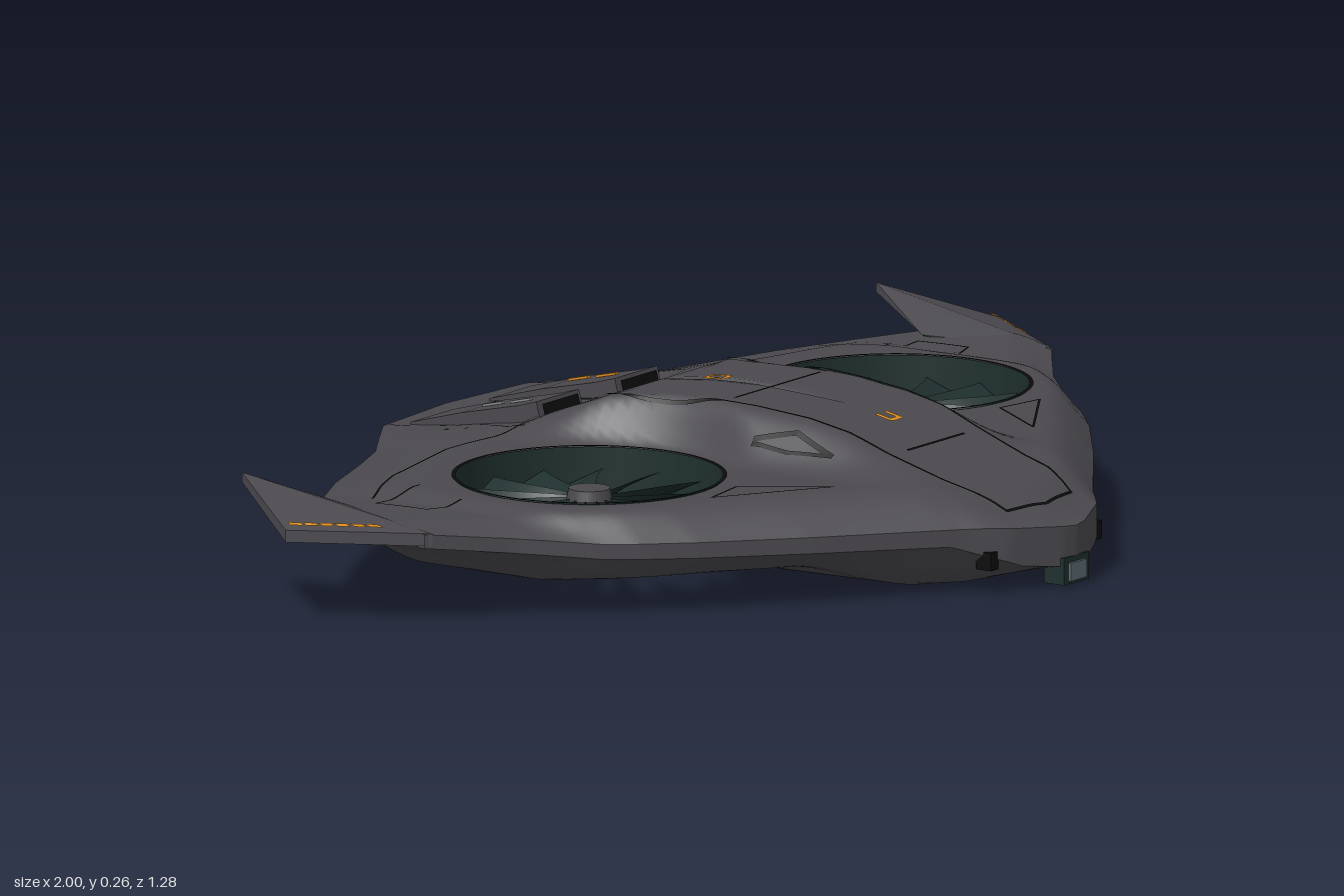
import * as THREE from 'three';
import { ConvexGeometry } from 'three/addons/geometries/ConvexGeometry.js';

const mat = (name, color) => {
  const m = new THREE.MeshStandardMaterial({ color, side: THREE.DoubleSide });
  m.name = name;
  return m;
};

// piecewise linear lookup through [in, out] pairs
const table = (...p) => (v) => {
  if (v <= p[0][0]) return p[0][1];
  for (let i = 1; i < p.length; i++)
    if (v <= p[i][0]) return THREE.MathUtils.mapLinear(v, p[i - 1][0], p[i][0], p[i - 1][1], p[i][1]);
  return p[p.length - 1][1];
};
const { lerp, smoothstep } = THREE.MathUtils;

// plan outline, by distance from the centre line
const lead = table([0, 0.635], [0.03, 0.63], [0.12, 0.59], [0.18, 0.54], [0.4, 0.385], [0.55, 0.27], [0.62, 0.205], [0.68, 0.135], [0.76, 0.05], [0.88, -0.04]);
const trail = table([0, -0.62], [0.2, -0.603], [0.28, -0.555], [0.36, -0.505], [0.47, -0.458], [0.62, -0.4], [0.75, -0.335], [0.88, -0.265]);
// the trailing edge leans back towards its lower side
const rear = (a, isTop) => trail(a) - (isTop ? 0 : 0.012);
// heights: spine, belly, wing and edges
const spine = table([-0.62, 0.143], [-0.45, 0.162], [-0.34, 0.178], [-0.28, 0.205], [-0.18, 0.243], [-0.08, 0.254], [0, 0.257], [0.1, 0.253], [0.2, 0.244], [0.28, 0.228], [0.35, 0.202], [0.45, 0.17], [0.54, 0.147], [0.6, 0.122], [0.64, 0.105]);
const belly = table([-0.62, 0.08], [-0.4, 0.062], [-0.3, 0.043], [-0.15, 0.02], [0.2, 0.004], [0.5, 0.01], [0.6, 0.025], [0.64, 0.03]);
const deck = table([0, 0.175], [0.67, 0.174], [0.72, 0.161], [0.8, 0.165], [0.88, 0.17]);
const under = table([0, 0.055], [0.68, 0.056], [0.72, 0.08], [0.86, 0.138]);
const shoulder = table([-0.6, 0.18], [-0.3, 0.18], [0, 0.15], [0.35, 0.12], [0.6, 0.09]);
const leadTop = table([0, 0.1], [0.15, 0.112], [0.66, 0.125], [0.88, 0.155]);
const leadLow = table([0, 0.032], [0.1, 0.045], [0.2, 0.085], [0.66, 0.1], [0.88, 0.132]);
const trailTop = table([0, 0.145], [0.2, 0.145], [0.36, 0.143], [0.88, 0.158]);
const trailLow = table([0, 0.08], [0.2, 0.08], [0.36, 0.112], [0.88, 0.14]);

const DUCT = { x: 0.43, z: -0.03, r: 0.22, top: 0.174, low: 0.056 };

const rise = (d) => Math.sin((Math.PI / 2) * THREE.MathUtils.clamp(d, 0, 1));
function surface(x, z, isTop) {
  const a = Math.abs(x), front = lead(a) - z, back = z - trail(a);
  const edge = lerp(isTop ? trailTop(a) : trailLow(a), isTop ? leadTop(a) : leadLow(a), smoothstep(back / (front + back), 0.2, 0.8));
  const w = isTop ? shoulder(z) : 0.17;
  const k = 1 - smoothstep(a, w, w + (isTop ? 0.11 : 0.2));
  const full = isTop ? lerp(deck(a), spine(z), k) : lerp(under(a), belly(z), k);
  const y = lerp(edge, full, Math.min(rise(front / 0.1), rise(back / 0.2)));
  // flat rim around each duct
  const rim = 1 - smoothstep(Math.hypot(a - DUCT.x, z - DUCT.z), DUCT.r + 0.006, DUCT.r + 0.07);
  return lerp(y, isTop ? DUCT.top : DUCT.low, rim);
}
const topY = (x, z) => surface(x, z, true), lowY = (x, z) => surface(x, z, false);

// top or bottom skin, a grid with both duct holes cut to exact circles
function skin(isTop) {
  const nx = 176, nz = 60, pos = [], idx = [], inside = [];
  for (let i = 0; i <= nx; i++) for (let j = 0; j <= nz; j++) {
    let x = -0.88 + (1.76 * i) / nx, z = lerp(rear(Math.abs(x), isTop), lead(Math.abs(x)), j / nz);
    const cx = Math.sign(x) * DUCT.x, d = Math.hypot(x - cx, z - DUCT.z);
    inside.push(d < DUCT.r);
    if (d < DUCT.r && d > 0) {
      x = cx + ((x - cx) * DUCT.r) / d;
      z = DUCT.z + ((z - DUCT.z) * DUCT.r) / d;
    }
    pos.push(x, surface(x, z, isTop), z);
  }
  for (let i = 0; i < nx; i++) for (let j = 0; j < nz; j++) {
    const a = i * (nz + 1) + j, b = a + 1, c = a + nz + 1, d = c + 1;
    if (inside[a] && inside[b] && inside[c] && inside[d]) continue;
    if (isTop) idx.push(a, b, c, b, d, c);
    else idx.push(a, c, b, b, c, d);
  }
  return build(pos, idx);
}
function build(pos, idx) {
  const g = new THREE.BufferGeometry();
  g.setAttribute('position', new THREE.Float32BufferAttribute(pos, 3));
  g.setIndex(idx);
  g.computeVertexNormals();
  return g;
}
// band of quads between two rows of points
function strip(rowA, rowB) {
  const idx = [], n = rowA.length;
  for (let i = 0; i < n - 1; i++) idx.push(i, i + n, i + 1, i + 1, i + n, i + n + 1);
  return build([...rowA, ...rowB].flat(), idx);
}
// thin painted line laid on a skin through [x, z] points
function ribbon(pts, width, fn = topY) {
  const A = [], B = [], lift = fn === topY ? 0.003 : -0.003;
  for (let s = 0; s < pts.length - 1; s++) {
    const [x0, z0] = pts[s], [x1, z1] = pts[s + 1], len = Math.hypot(x1 - x0, z1 - z0);
    const ox = ((z1 - z0) / len) * width / 2, oz = (-(x1 - x0) / len) * width / 2;
    for (let t = 0; t <= 12; t++) {
      const x = lerp(x0, x1, t / 12), z = lerp(z0, z1, t / 12);
      A.push([x + ox, fn(x + ox, z + oz) + lift, z + oz]);
      B.push([x - ox, fn(x - ox, z - oz) + lift, z - oz]);
    }
  }
  return strip(A, B);
}
const rect = (x, z, w, d) => [[x - w / 2, z - d / 2], [x + w / 2, z - d / 2], [x + w / 2, z + d / 2], [x - w / 2, z + d / 2], [x - w / 2, z - d / 2]];

export function createModel() {
  const root = new THREE.Group();
  const body = mat('charcoal body', 0x4b494e), green = mat('dark green fan', 0x1f302e), black = mat('black lines', 0x0c0c0e);
  const orange = mat('orange marks', 0xd98a1e), grey = mat('grey marks', 0x85878a), glass = mat('lens grey', 0x5c6c72);
  const edgeGrey = mat('edge grey', 0x62686a);
  const add = (name, geo, m, parent = root) => {
    const mesh = new THREE.Mesh(geo, m);
    mesh.name = name;
    parent.add(mesh);
    return mesh;
  };
  const box = (name, w, h, d, x, y, z, m) => add(name, new THREE.BoxGeometry(w, h, d), m).position.set(x, y, z);

  // flying wing hull and its edge walls
  add('upperHull', skin(true), body);
  add('lowerHull', skin(false), body);
  for (const [name, edge, m] of [['leadingEdge', lead, body], ['trailingEdge', rear, edgeGrey]]) {
    const rows = [true, false].map((isTop) => Array.from({ length: 177 }, (_, i) => {
      const x = -0.88 + i * 0.01, z = edge(Math.abs(x), isTop);
      return [x, surface(x, z, isTop), z];
    }));
    add(name, strip(...rows), m);
  }

  // tail exhaust and lower lip
  const exhaust = (y, back) => [-0.18, 0, 0.18].map((x) => [x, y, trail(Math.abs(x)) - back]);
  add('exhaustOpening', strip(exhaust(0.137, 0.006), exhaust(0.086, 0.016)), green);
  const lip = new THREE.Shape([[-0.2, 0.59], [0.2, 0.59], [0.2, 0.615], [0, 0.645], [-0.2, 0.615]].map((p) => new THREE.Vector2(...p)));
  const lipGeo = new THREE.ExtrudeGeometry(lip, { depth: 0.006, bevelEnabled: false }).rotateX(-Math.PI / 2);
  add('tailLip', lipGeo, body).position.y = 0.074;

  for (const s of [-1, 1]) {
    const side = s > 0 ? 'left' : 'right';
    // duct wall and dark rims
    const ring = (r, y) => Array.from({ length: 65 }, (_, i) => {
      const a = (i / 64) * Math.PI * 2;
      return [s * DUCT.x + r * Math.cos(a), y, DUCT.z + r * Math.sin(a)];
    });
    add(side + 'DuctWall', strip(ring(0.22, DUCT.top + 0.001), ring(0.22, DUCT.low - 0.001)), green);
    add(side + 'DuctRim', strip(ring(0.217, DUCT.top + 0.003), ring(0.224, DUCT.top + 0.003)), black);
    add(side + 'DuctLowerRim', strip(ring(0.217, DUCT.low - 0.003), ring(0.222, DUCT.low - 0.003)), black);

    // fan with pitched blades
    const fan = new THREE.Group();
    fan.name = side + 'Fan';
    fan.position.set(s * DUCT.x, 0.125, DUCT.z);
    root.add(fan);
    add('hub', new THREE.CylinderGeometry(0.034, 0.046, 0.06, 24), body, fan);
    const blade = (da, y) => Array.from({ length: 7 }, (_, i) => {
      const r = 0.035 + i * 0.0303, a = s * (da + 0.08 * Math.sin((i / 6) * Math.PI * 0.7));
      return [r * Math.cos(a), y, r * Math.sin(a)];
    });
    const bladeGeo = strip(blade(0, 0.015), blade(0.365, -0.02));
    for (let i = 0; i < 14; i++) add('fanBlade', bladeGeo, green, fan).rotation.y = (i / 14) * Math.PI * 2;

    // upswept wingtip
    const A = [0.87, 0.156, -0.03], B = [1, 0.16, -0.23], C = [0.89, 0.216, -0.395], D = [0.865, 0.19, -0.265], E = [0.8, 0.164, -0.24];
    const low = [[0.87, 0.135, -0.03], [1, 0.14, -0.23], [0.89, 0.2, -0.395], [0.86, 0.138, -0.26]];
    const flip = ([x, y, z]) => new THREE.Vector3(s * x, y, z);
    add(side + 'Wingtip', new ConvexGeometry([A, B, C, D, E, ...low].map(flip)), body);
    const onTip = (u, v) => [0, 1, 2].map((k) => (lerp(lerp(A[k], B[k], u), C[k], v) + (k === 1 ? 0.004 : 0)) * (k === 0 ? s : 1));
    for (let i = 0; i < 6; i++) {
      const u = 0.28 + i * 0.115;
      add('wingtipMark', strip([onTip(u, 0.05), onTip(u + 0.095, 0.05)], [onTip(u, 0.1), onTip(u + 0.095, 0.1)]), orange);
    }

    // rear air scoop with a dark forward mouth
    const profile = [[0.3, 0.14], [0.32, 0.215], [0.36, 0.203], [0.47, 0.178], [0.57, 0.15], [0.57, 0.12]];
    const scoop = new THREE.ExtrudeGeometry(new THREE.Shape(profile.map((p) => new THREE.Vector2(...p))), { depth: 0.12, bevelEnabled: false });
    add(side + 'Scoop', scoop.rotateY(Math.PI / 2), body).position.x = s * 0.11 - 0.06;
    const mouth = (y, z) => [[s * 0.06, y, z], [s * 0.16, y, z]];
    add(side + 'ScoopMouth', strip(mouth(0.21, -0.315), mouth(0.16, -0.301)), black);
    for (const z of [-0.385, -0.44])
      add('scoopMark', new THREE.BoxGeometry(0.008, 0.004, 0.04).rotateX(-0.24), s > 0 ? orange : grey).position.set(s * 0.12, table(...profile.slice(1))(-z) + 0.003, z);

    // panel lines on the upper skin
    const line = (pts, w = 0.005) => add('panelLine', ribbon(pts.map(([x, z]) => [s * x, z]), w), black);
    line([[0.175, -0.3], [0.165, -0.12], [0.145, 0.05], [0.125, 0.35], [0.11, 0.5], [0.09, 0.56], [0, 0.575]]);
    line([[0.2, -0.31], [0.4, -0.335], [0.6, -0.3], [0.73, -0.25]], 0.004);
    line([[0.2, -0.59], [0.2, -0.42], [0.23, -0.3]], 0.004);
    line([[0.28, 0.35], [0.46, 0.235], [0.37, 0.22], [0.28, 0.35]], 0.004);
    line([[0.65, -0.21], [0.76, -0.22], [0.76, -0.12], [0.69, -0.1]], 0.004);
    line([[0.195, 0.13], [0.17, 0.2], [0.185, 0.28]], 0.008);
    line([[0.2, 0.13], [0.2, 0.2], [0.185, 0.28]], 0.006);
    line([[0.045, -0.32], [0.035, -0.55]], 0.006);

    // nose sensors
    box(side + 'NoseSensor', 0.022, 0.03, 0.03, s * 0.145, 0.058, 0.56, black);
  }

  // cross lines and orange marks along the spine
  for (const [z, w] of [[-0.315, 0.19], [0.04, 0.12], [0.355, 0.08]]) add('panelLine', ribbon([[-w, z], [w, z]], 0.005), black);
  add('spineMark', ribbon(rect(0, -0.08, 0.025, 0.035), 0.01), orange);
  add('spineMark', ribbon(rect(0, 0.26, 0.025, 0.03).slice(1), 0.01), orange);

  // belly hatches
  for (const z of [0.22, 0.05, -0.12, -0.28]) add('bellyHatch', ribbon(rect(0, z, 0.13, 0.11), 0.003, lowY), black);

  // chin camera
  box('cameraHousing', 0.07, 0.045, 0.04, 0, 0.028, 0.615, green);
  box('cameraLens', 0.045, 0.03, 0.006, 0, 0.026, 0.637, glass);
  return root;
}
